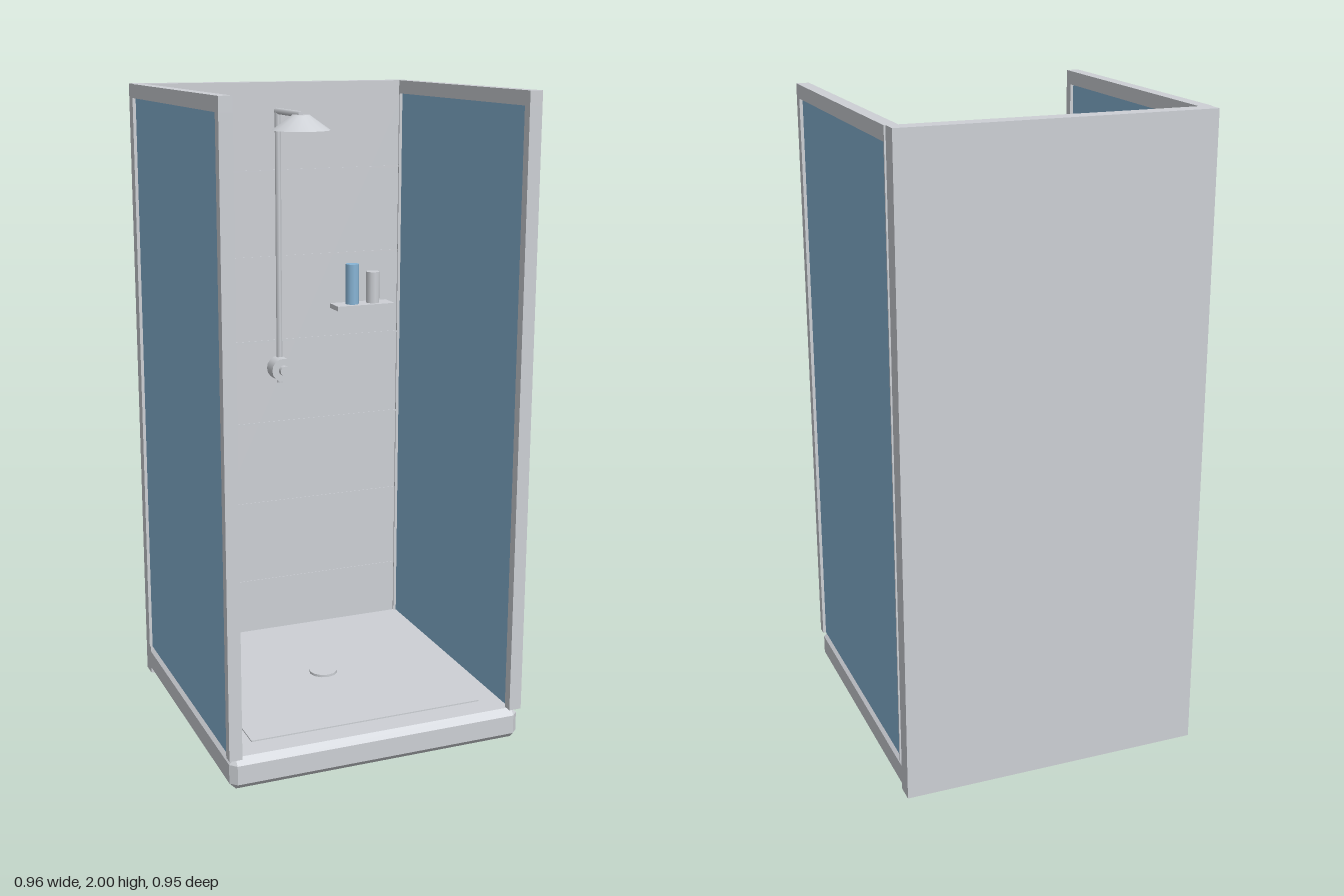
import * as THREE from 'three';
import { ConvexGeometry } from 'three/addons/geometries/ConvexGeometry.js';

export function createModel() {
  const model = new THREE.Group();
  model.name = 'showerCabin';
  const grey = new THREE.MeshStandardMaterial({ color: 0xcdd0d5 });
  grey.name = 'lightGrey';
  const blue = new THREE.MeshStandardMaterial({ color: 0x88b5d6 });
  blue.name = 'glassBlue';

  const add = (name, geometry, material = grey) => {
    const mesh = new THREE.Mesh(geometry, material);
    mesh.name = name;
    model.add(mesh);
    return mesh;
  };
  // Box given by its minimum and maximum corners
  const box = (name, [x0, y0, z0], [x1, y1, z1], material) =>
    add(name, new THREE.BoxGeometry(x1 - x0, y1 - y0, z1 - z0), material)
      .position.set((x0 + x1) / 2, (y0 + y1) / 2, (z0 + z1) / 2);
  // Upright cylinder standing on y
  const post = (name, rTop, rBottom, height, sides, x, y, z, material) =>
    add(name, new THREE.CylinderGeometry(rTop, rBottom, height, sides), material)
      .position.set(x, y + height / 2, z);
  // Cylinder lying along z
  const rod = (name, radius, z0, z1, sides, y) => {
    const geometry = new THREE.CylinderGeometry(radius, radius, z1 - z0, sides).rotateX(Math.PI / 2);
    add(name, geometry).position.set(0, y, (z0 + z1) / 2);
  };

  // Tray with chamfered edges
  const half = [0.475, 0.05, 0.4575], c = 0.02;
  const corners = [];
  for (const sx of [-1, 1]) for (const sy of [-1, 1]) for (const sz of [-1, 1]) {
    for (let axis = 0; axis < 3; axis++) {
      const [x, y, z] = half.map((h, i) => (i === axis ? h : h - c));
      corners.push(new THREE.Vector3(sx * x, sy * y, sz * z));
    }
  }
  add('tray', new ConvexGeometry(corners)).position.set(0, 0.05, 0.0175);
  box('trayFloor', [-0.38, 0.09, -0.38], [0.38, 0.104, 0.38]);
  post('drain', 0.046, 0.046, 0.012, 12, 0, 0.1, 0);

  // Back wall with thin horizontal joints
  box('backWall', [-0.475, 0, -0.475], [0.475, 2, -0.42]);
  for (let i = 1; i < 7; i++) {
    const y = (i * 2) / 7;
    box('wallJoint', [-0.44, y - 0.003, -0.421], [0.44, y + 0.003, -0.418]);
  }

  // Glazed side walls: top rail, front post and panel
  for (const s of [-1, 1]) {
    const side = (name, xIn, xOut, y0, y1, z0, z1, material) =>
      box(name, [Math.min(s * xIn, s * xOut), y0, z0], [Math.max(s * xIn, s * xOut), y1, z1], material);
    side('topRail', 0.44, 0.48, 1.957, 2, -0.42, 0.475);
    side('frontPost', 0.44, 0.48, 0.1, 1.957, 0.445, 0.475);
    side('rearStrip', 0.44, 0.48, 0.1, 1.957, -0.42, -0.415);
    side('glassPanel', 0.45, 0.47, 0.1, 1.957, -0.415, 0.445, blue);
  }

  // Shower: riser, arm, head and mixer
  post('riserPipe', 0.01, 0.01, 0.91, 6, 0, 1.0, -0.405);
  rod('showerArm', 0.01, -0.414, -0.19, 6, 1.908);
  post('showerHead', 0.028, 0.094, 0.047, 14, 0, 1.86, -0.19);
  rod('mixerBody', 0.04, -0.42, -0.365, 16, 1.05);
  rod('mixerKnob', 0.017, -0.365, -0.346, 12, 1.05);

  // Shelf with two bottles
  box('shelf', [0.19, 1.242, -0.42], [0.398, 1.258, -0.345]);
  post('blueBottle', 0.023, 0.023, 0.137, 10, 0.257, 1.258, -0.383, blue);
  post('greyBottle', 0.023, 0.023, 0.107, 10, 0.333, 1.258, -0.383);

  return model;
}
